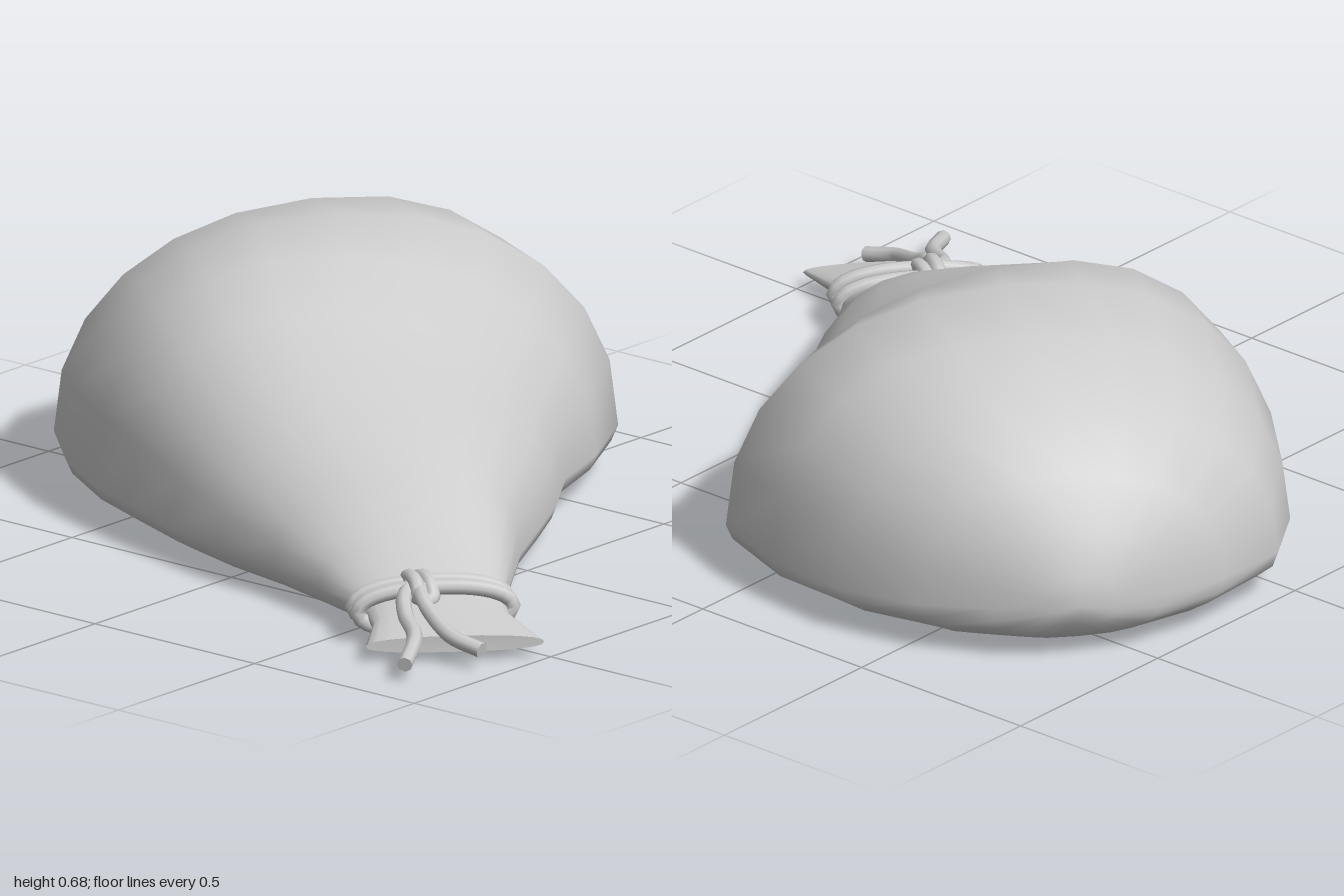
import * as THREE from 'three';

const material = new THREE.MeshStandardMaterial({ color: 0xcccccc, side: THREE.DoubleSide });
const SIDES = 24;

// Sack cross-sections from back to mouth:
// [z, left edge, right edge, top y, bottom y, y of widest point, tilt of the top]
const sections = [
  [-1.94, -0.10, 0.08, 0.22, 0.10, 0.15, 0],
  [-1.90, -0.22, 0.20, 0.33, 0.05, 0.14, 0],
  [-1.82, -0.38, 0.36, 0.44, 0.03, 0.13, -0.06],
  [-1.68, -0.54, 0.52, 0.56, 0.02, 0.12, -0.08],
  [-1.48, -0.61, 0.645, 0.65, 0.01, 0.11, -0.06],
  [-1.25, -0.63, 0.715, 0.68, 0.005, 0.11, 0.03],
  [-1.05, -0.60, 0.62, 0.63, 0.005, 0.10, 0.12],
  [-0.88, -0.55, 0.51, 0.54, 0.005, 0.10, 0.18],
  [-0.70, -0.485, 0.45, 0.46, 0.005, 0.09, 0.15],
  [-0.53, -0.41, 0.375, 0.39, 0.005, 0.09, 0.02],
  [-0.37, -0.31, 0.295, 0.31, 0.005, 0.08, -0.12],
  [-0.20, -0.235, 0.24, 0.21, 0.01, 0.075, -0.12],
  [-0.05, -0.18, 0.19, 0.13, 0.02, 0.07, 0],
  [0.02, -0.16, 0.18, 0.115, 0.025, 0.065, 0],
  [0.08, -0.16, 0.175, 0.10, 0.025, 0.06, 0],
  [0.21, -0.20, 0.225, 0.065, 0.025, 0.045, 0],
];

// Skin the sections; the last ring is repeated so the mouth keeps a sharp rim
function sackGeometry() {
  const rings = [...sections, sections[sections.length - 1]];
  const positions = [];
  const indices = [];
  const power = (v, e) => Math.sign(v) * Math.abs(v) ** e;
  rings.forEach(([z, left, right, top, bottom, wide, tilt]) => {
    const middle = (left + right) / 2;
    const half = (right - left) / 2;
    for (let j = 0; j < SIDES; j++) {
      const a = (j / SIDES) * Math.PI * 2;
      const c = Math.cos(a);
      const s = Math.sin(a);
      const exponent = s >= 0 ? 0.9 : 0.75;
      const across = power(c, exponent);
      const rise = s >= 0 ? (top - wide) * (1 - tilt * across) : wide - bottom;
      const x = middle + half * across;
      positions.push(x, wide + rise * power(s, exponent), z + (z > 0.1 ? 0.11 * x : 0));
    }
  });
  for (let i = 0; i < sections.length - 1; i++) {
    for (let j = 0; j < SIDES; j++) {
      const k = (j + 1) % SIDES;
      const a = i * SIDES + j, b = i * SIDES + k;
      indices.push(a, b, a + SIDES, b, b + SIDES, a + SIDES);
    }
  }
  // Close the back and the mouth
  const back = positions.length / 3;
  positions.push(-0.01, 0.15, -1.95, 0.01, 0.045, 0.21);
  const last = sections.length * SIDES;
  for (let j = 0; j < SIDES; j++) {
    const k = (j + 1) % SIDES;
    indices.push(back, k, j, back + 1, last + j, last + k);
  }
  const geometry = new THREE.BufferGeometry();
  geometry.setAttribute('position', new THREE.Float32BufferAttribute(positions, 3));
  geometry.setIndex(indices);
  geometry.computeVertexNormals();
  return geometry;
}

// A cord along a smooth path, with capped ends when open
function cord(name, points, closed = false) {
  const radius = 0.019;
  const path = new THREE.CatmullRomCurve3(points.map((p) => new THREE.Vector3(...p)), closed);
  const group = new THREE.Group();
  group.name = name;
  group.add(new THREE.Mesh(new THREE.TubeGeometry(path, 40, radius, 8, closed), material));
  if (!closed) {
    for (const u of [0, 1]) {
      const cap = new THREE.Mesh(new THREE.CircleGeometry(radius, 8), material);
      cap.position.copy(path.getPoint(u));
      cap.lookAt(cap.position.clone().addScaledVector(path.getTangent(u), u ? 1 : -1));
      group.add(cap);
    }
  }
  group.children.forEach((m) => { m.name = name; });
  return group;
}

// Flattened loop around the neck
function neckLoop(z, lean) {
  const points = [];
  for (let i = 0; i < 16; i++) {
    const a = (i / 16) * Math.PI * 2;
    const x = 0.188 * Math.sign(Math.cos(a)) * Math.abs(Math.cos(a)) ** 0.85;
    points.push([0.003 + x, 0.077 + 0.054 * Math.sin(a), z + lean * x]);
  }
  return cord('neckCord', points, true);
}

export function createModel() {
  const model = new THREE.Group();
  model.name = 'tiedSack';

  // Everything is laid out along z, then turned to lie diagonally
  const sack = new THREE.Group();
  sack.name = 'sackAssembly';
  sack.position.set(0.67, 0, 0.55);
  sack.rotation.y = Math.atan2(0.79, 0.61);
  model.add(sack);

  const body = new THREE.Mesh(sackGeometry(), material);
  body.name = 'sackBody';
  sack.add(body);

  // Two turns of cord
  sack.add(neckLoop(-0.03, 0.04), neckLoop(0.025, 0.05));

  // Knot wrapped over both turns
  sack.add(cord('knot', [
    [-0.05, 0.10, -0.06], [-0.05, 0.14, -0.04], [-0.045, 0.145, 0.03], [-0.04, 0.11, 0.06],
    [-0.01, 0.11, 0.05], [-0.01, 0.14, 0.02], [-0.02, 0.14, -0.04], [-0.03, 0.11, -0.07],
  ], true));

  // Loose cord ends
  sack.add(cord('cordEnd', [
    [-0.03, 0.135, 0], [-0.04, 0.125, 0.07], [-0.03, 0.10, 0.13], [0, 0.07, 0.23], [0.06, 0.05, 0.293],
  ]));
  sack.add(cord('cordEnd', [
    [-0.05, 0.135, 0], [-0.08, 0.12, 0.06], [-0.09, 0.095, 0.13], [-0.09, 0.075, 0.23], [-0.14, 0.045, 0.355],
  ]));

  return model;
}
